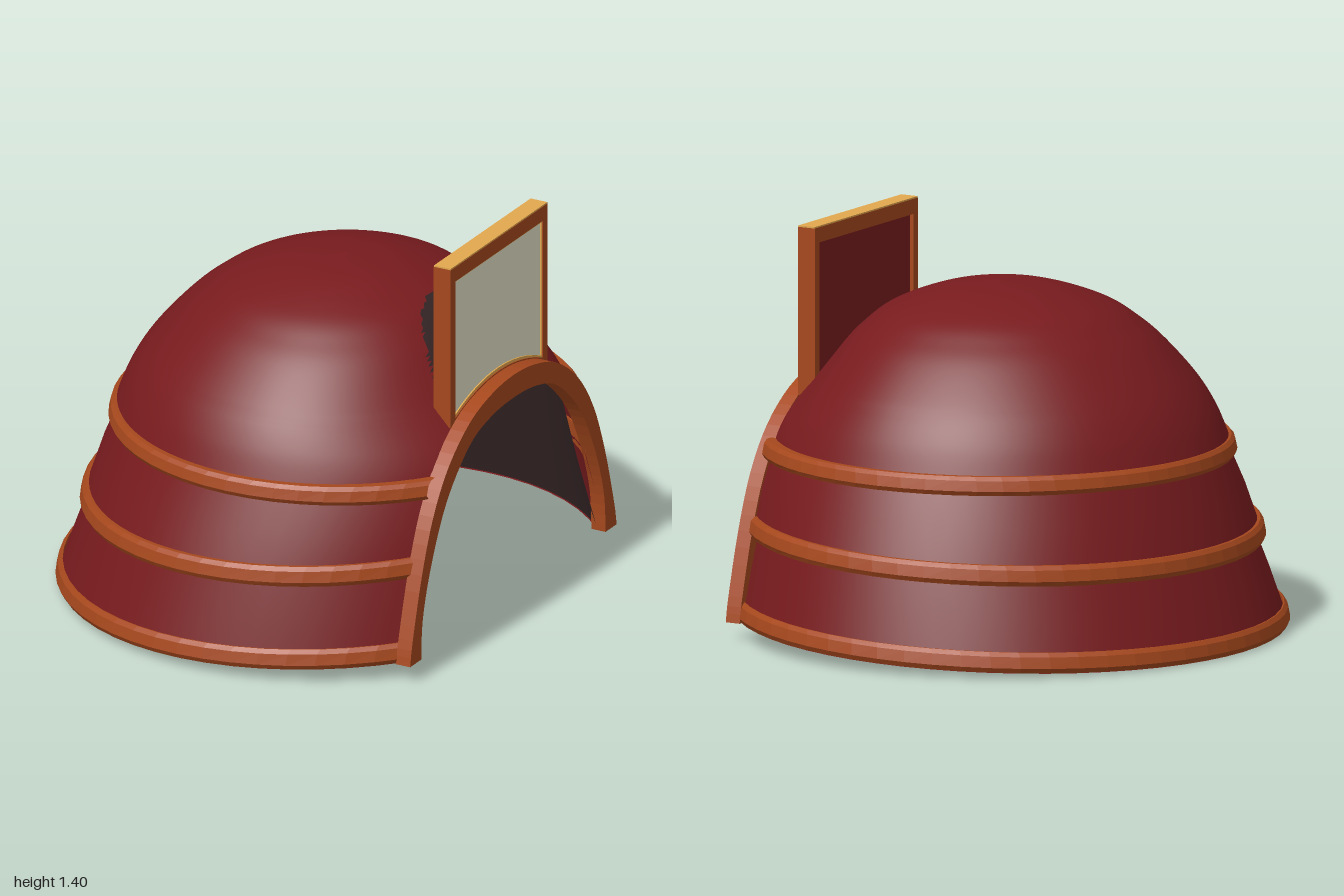
import * as THREE from 'three';

const mat = (name, color, side = THREE.FrontSide) =>
  Object.assign(new THREE.MeshStandardMaterial({ color, side }), { name });

const CUT = 0.79; // plane of the open face

// Point on an oval ring, trimmed at the open face; t runs 0..1 around the ring.
// ring: cx, rx, rz, y, tilt (rise per unit of x), f (scale of the front half)
function ringPoint({ cx, rx, rz, y, tilt = 0, f = 1 }, t) {
  const c = (CUT - cx) / (rx * f || 1e-6);
  const a = c < 1 ? Math.acos(c) : 0;
  const th = a + t * (Math.PI * 2 - 2 * a);
  const cos = Math.cos(th);
  const x = cx + rx * cos * (cos > 0 ? f : 1);
  return [x, y + tilt * x, rz * Math.sin(th)];
}

// Surface through a stack of rings, with an optional second material region
function loft(rings, n, flip = false, inPatch = null) {
  const pos = [], main = [], patch = [];
  rings.forEach(r => { for (let j = 0; j <= n; j++) pos.push(...ringPoint(r, j / n)); });
  const w = n + 1;
  const add = (a, b, c) => {
    const mid = k => (pos[a * 3 + k] + pos[b * 3 + k] + pos[c * 3 + k]) / 3;
    const list = inPatch && inPatch(mid(0), mid(2)) ? patch : main;
    list.push(...(flip ? [a, c, b] : [a, b, c]));
  };
  for (let i = 0; i < rings.length - 1; i++) for (let j = 0; j < n; j++) {
    const a = i * w + j, b = a + 1, c = a + w, d = c + 1;
    add(a, c, b);
    add(b, c, d);
  }
  const g = new THREE.BufferGeometry();
  g.setAttribute('position', new THREE.Float32BufferAttribute(pos, 3));
  g.setIndex([...main, ...patch]);
  if (inPatch) {
    g.addGroup(0, main.length, 0);
    g.addGroup(main.length, patch.length, 1);
  }
  g.computeVertexNormals();
  return g;
}

// Faceted trim strip: a bevelled section swept around one ring
function bandGeometry(ring, height, depth) {
  const h = height / 2;
  const section = [[-depth, -h], [-0.01, -h], [0, -h * 0.5], [-0.008, h * 0.6],
    [-0.02, h], [-depth, h], [-depth, -h]];
  const rings = section.map(([dr, dy]) =>
    ({ ...ring, rx: ring.rx + dr, rz: ring.rz + dr, y: ring.y + dy }));
  const g = loft(rings, 44).toNonIndexed();
  g.computeVertexNormals();
  return g;
}

// Shape drawn as (z, y), extruded along x from x0 to x1
function slab(shape, x0, x1) {
  const g = new THREE.ExtrudeGeometry(shape, { depth: x1 - x0, bevelEnabled: false, curveSegments: 12 });
  return g.rotateY(Math.PI / 2).translate(x0, 0, 0);
}

// Half outline mirrored and smoothed into a full arch
function arch(half, n) {
  const full = [...half, ...half.slice(0, -1).reverse().map(([z, y]) => [-z, y])];
  return new THREE.SplineCurve(full.map(p => new THREE.Vector2(...p))).getPoints(n);
}

export function createModel() {
  const red = mat('lacquer red', 0x781b1e, THREE.DoubleSide);
  const orange = mat('copper trim', 0xa6481d);
  const dark = mat('dark lining', 0x342425);
  const cream = mat('cream panel', 0xe6e2c9);
  const gold = mat('gold edge', 0xe2a84e);
  const crimson = mat('bright crimson', 0xee202c);

  const model = new THREE.Group();
  const add = (name, geometry, material) => {
    const m = new THREE.Mesh(geometry, material);
    m.name = name;
    model.add(m);
  };

  // Two flared skirt tiers
  add('lowerTier', loft([
    { cx: 0.12, rx: 0.93, rz: 0.975, y: 0.075, tilt: 0.037 },
    { cx: 0.13, rx: 0.89, rz: 0.938, y: 0.21, tilt: 0.037 },
    { cx: 0.14, rx: 0.845, rz: 0.895, y: 0.345, tilt: 0.038 }], 56), red);
  add('upperTier', loft([
    { cx: 0.14, rx: 0.86, rz: 0.92, y: 0.36, tilt: 0.038 },
    { cx: 0.155, rx: 0.825, rz: 0.87, y: 0.5, tilt: 0.02 },
    { cx: 0.17, rx: 0.78, rz: 0.81, y: 0.635, f: 0.98 }], 56), red);

  // Rounded crown, flatter at the front, with a dark patch behind the plaque
  const profile = new THREE.SplineCurve([
    [0.8, 0.65], [0.755, 0.76], [0.69, 0.865], [0.585, 0.985], [0.5, 1.06],
    [0.39, 1.13], [0.2, 1.192], [0, 1.212]].map(p => new THREE.Vector2(...p)));
  const crown = profile.getPoints(48).map(({ x, y }) => ({
    cx: 0.17, rx: Math.max(x, 0), rz: Math.max(x, 0), y,
    f: 0.965 - 0.08 * THREE.MathUtils.smoothstep(y, 0.66, 0.9)
      + 0.035 * THREE.MathUtils.smoothstep(y, 0.92, 1.15) }));
  const behindPlaque = (x, z) => ((x - 0.79) / 0.28) ** 2 + (z / 0.3) ** 2 < 1;
  add('crown', loft(crown, 160, false, behindPlaque), [red, dark]);

  // Inner lining, with a crimson disc at the top
  const lining = [
    { cx: 0.12, rx: 0.915, rz: 0.962, y: 0.034, tilt: 0.037 },
    { cx: 0.14, rx: 0.81, rz: 0.86, y: 0.35, tilt: 0.038 },
    { cx: 0.17, rx: 0.755, rz: 0.775, y: 0.62, f: 0.97 },
    ...crown.slice(3).map(r => ({
      ...r, rx: Math.max(r.rx - 0.025, 0), rz: Math.max(r.rz - 0.025, 0), y: r.y - 0.025 }))];
  const topDisc = (x, z) => Math.hypot(x + 0.02, z) < 0.46;
  add('lining', loft(lining, 96, true, topDisc), [dark, crimson]);

  // Red underside joining the lining to the bottom band
  add('bottomRim', loft([
    { cx: 0.12, rx: 0.914, rz: 0.961, y: 0.03, tilt: 0.037 },
    { cx: 0.12, rx: 0.936, rz: 0.986, y: 0.029, tilt: 0.037 }], 44), red);

  // Trim bands around the lower edge of each tier and the crown
  [
    ['bottomBand', { cx: 0.12, rx: 0.95, rz: 1.0, y: 0.066, tilt: 0.037 }, 0.07, 0.025],
    ['middleBand', { cx: 0.14, rx: 0.88, rz: 0.945, y: 0.355, tilt: 0.038 }, 0.07, 0.04],
    ['crownBand', { cx: 0.17, rx: 0.82, rz: 0.835, y: 0.637, tilt: 0.005 }, 0.065, 0.05],
  ].forEach(([name, ring, h, d]) => add(name, bandGeometry(ring, h, d), orange));

  // Arched trim around the open face
  const outer = arch([[0.728, 0.06], [0.71, 0.15], [0.645, 0.37], [0.565, 0.56],
    [0.455, 0.71], [0.305, 0.82], [0.15, 0.87], [0, 0.885]], 56);
  const inner = arch([[0.65, 0.06], [0.64, 0.2], [0.59, 0.36], [0.5, 0.54],
    [0.4, 0.66], [0.28, 0.75], [0.14, 0.79], [0, 0.8]], 56);
  add('archTrim', slab(new THREE.Shape([...outer, ...inner.reverse()]), 0.77, 0.826), orange);

  // Upright plaque: frame, front and back panels, gold rim and top edge
  const outline = (w, top, side, mid) => {
    const s = new THREE.Shape();
    s.moveTo(-w, side);
    s.quadraticCurveTo(0, 2 * mid - side, w, side);
    s.lineTo(w, top);
    s.lineTo(-w, top);
    s.closePath();
    return s;
  };
  const frame = outline(0.342, 1.39, 0.8, 0.85);
  frame.holes.push(outline(0.31, 1.337, 0.825, 0.89));
  add('plaqueFrame', slab(frame, 0.702, 0.77), orange);
  const panel = outline(0.312, 1.339, 0.823, 0.888);
  add('plaqueFront', slab(panel, 0.745, 0.761), cream);
  add('plaqueBack', slab(panel, 0.715, 0.744), red);
  const rim = outline(0.311, 1.338, 0.824, 0.889);
  rim.holes.push(outline(0.305, 1.332, 0.834, 0.9));
  add('plaqueRim', slab(rim, 0.761, 0.766), gold);
  add('plaqueTopEdge', new THREE.BoxGeometry(0.066, 0.006, 0.682).translate(0.736, 1.392, 0), gold);

  return model;
}
